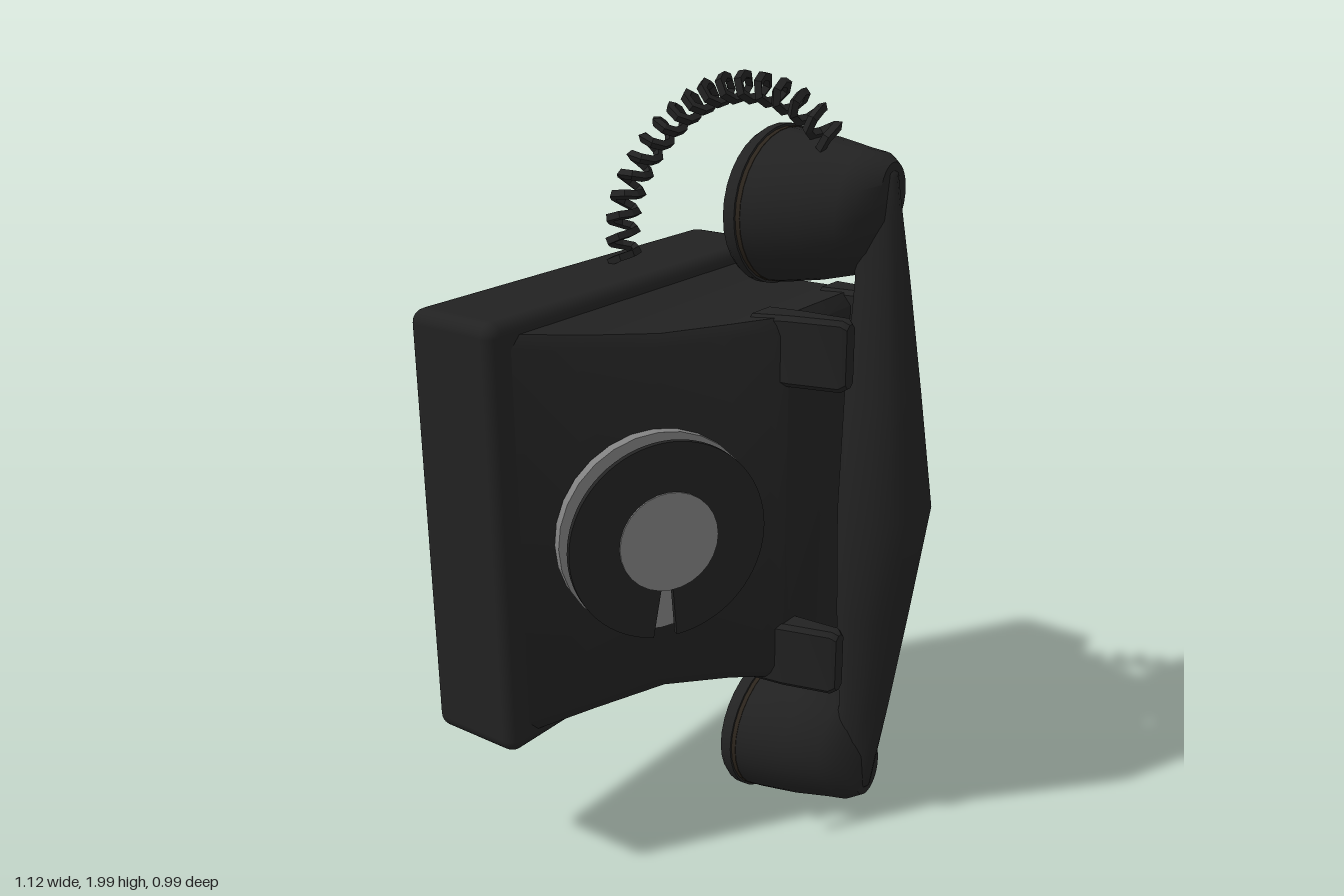
import * as THREE from 'three';
import { toCreasedNormals } from 'three/addons/utils/BufferGeometryUtils.js';
import { RoundedBoxGeometry } from 'three/addons/geometries/RoundedBoxGeometry.js';

const black = new THREE.MeshStandardMaterial({ color: 0x222222 });
black.name = 'black bakelite';
const grey = new THREE.MeshStandardMaterial({ color: 0x808080 });
grey.name = 'grey metal';
const brown = new THREE.MeshStandardMaterial({ color: 0x2b241c });
brown.name = 'dark brown seam';

const MID_Y = 0.94;   // the handset is symmetric about this height
const HAND_X = 0.245; // centre line of handset and cradle

function mesh(name, geometry, material = black) {
  const m = new THREE.Mesh(geometry, material);
  m.name = name;
  return m;
}

// Skin a list of equal-length point rings and close both ends
function loft(rings, crease = 0.6) {
  const n = rings[0].length, pos = [], idx = [];
  rings.forEach(r => r.forEach(p => pos.push(...p)));
  for (let k = 0; k < rings.length - 1; k++) {
    for (let i = 0; i < n; i++) {
      const j = (i + 1) % n, a = k * n, b = a + n;
      idx.push(a + i, a + j, b + j, a + i, b + j, b + i);
    }
  }
  const last = (rings.length - 1) * n;
  for (let i = 1; i < n - 1; i++) {
    idx.push(0, i + 1, i, last, last + i, last + i + 1);
  }
  const g = new THREE.BufferGeometry();
  g.setAttribute('position', new THREE.Float32BufferAttribute(pos, 3));
  g.setIndex(idx);
  return toCreasedNormals(g, crease);
}

// Rectangle in x/y with chamfered corners, counter-clockwise from +z
function chamfered(x0, x1, y0, y1, z, c) {
  return [
    [x0 + c, y0, z], [x1 - c, y0, z], [x1, y0 + c, z], [x1, y1 - c, z],
    [x1 - c, y1, z], [x0 + c, y1, z], [x0, y1 - c, z], [x0, y0 + c, z],
  ];
}

function ellipse(cx, cy, z, rx, ry, n = 32) {
  return Array.from({ length: n }, (_, i) => {
    const a = (i / n) * Math.PI * 2;
    return [cx + rx * Math.cos(a), cy + ry * Math.sin(a), z];
  });
}

function createBody() {
  const body = new THREE.Group();
  body.name = 'body';

  const base = mesh('basePlate', new RoundedBoxGeometry(1.125, 1.11, 0.27, 3, 0.035));
  base.position.set(-0.002, 0.945, -0.32);
  body.add(base);

  // Wedge rising from the base to the cradle: z, x0, x1, y0, y1, chamfer
  const sections = [
    [-0.2, -0.525, 0.512, 0.425, 1.465, 0.03],
    [-0.1, -0.375, 0.49, 0.46, 1.445, 0.03],
    [0, -0.22, 0.468, 0.49, 1.43, 0.03],
    [0.1, -0.07, 0.455, 0.475, 1.435, 0.03],
    [0.17, 0.035, 0.44, 0.455, 1.44, 0.03],
    [0.195, 0.07, 0.42, 0.48, 1.41, 0.03],
  ];
  body.add(mesh('wedgeHousing', loft(
    sections.map(([z, x0, x1, y0, y1, c]) => chamfered(x0, x1, y0, y1, z, c)))));

  // Four cradle prongs: z, sideways offset, half width, half height
  const prong = [
    [0.1, 0.16, 0.05, 0.085], [0.2, 0.15, 0.04, 0.09],
    [0.325, 0.13, 0.027, 0.09], [0.34, 0.13, 0.018, 0.08],
  ];
  for (const sx of [-1, 1]) for (const sy of [-1, 1]) {
    const y = MID_Y + 0.003 + sy * 0.415;
    body.add(mesh('cradleProng', loft(prong.map(([z, off, hw, hh]) => {
      const x = HAND_X + sx * off;
      return chamfered(x - hw, x + hw, y - hh, y + hh, z, 0.012);
    }))));
  }

  // Feet
  for (const x of [-0.327, 0.325]) for (const y of [0.588, 1.272]) {
    const foot = mesh('foot', toCreasedNormals(new THREE.CylinderGeometry(0.083, 0.083, 0.06, 24), 0.6));
    foot.rotation.x = Math.PI / 2;
    foot.position.set(x, y, -0.462);
    body.add(foot);
  }
  return body;
}

function createDial() {
  const dial = new THREE.Group();
  dial.name = 'dial';
  const disc = (name, r, depth, z, mat) => {
    const m = mesh(name, toCreasedNormals(new THREE.CylinderGeometry(r, r, depth, 28), 0.6), mat);
    m.rotation.x = Math.PI / 2;
    m.position.z = z;
    dial.add(m);
  };
  disc('dialBacking', 0.26, 0.03, 0, grey);
  disc('dialHub', 0.128, 0.085, 0.037, grey);

  // Finger wheel with a slot at its lower edge
  const gap = 0.12, down = -Math.PI / 2 - 0.05;
  const shape = new THREE.Shape();
  shape.absarc(0, 0, 0.255, down + gap, down - gap + Math.PI * 2, false);
  shape.absarc(0, 0, 0.124, down - gap + Math.PI * 2, down + gap, true);
  const wheel = mesh('fingerWheel', toCreasedNormals(new THREE.ExtrudeGeometry(shape,
    { depth: 0.015, bevelEnabled: false, curveSegments: 36 }), 0.6));
  wheel.position.z = 0.06;
  dial.add(wheel);

  dial.position.set(-0.225, MID_Y, 0.012);
  dial.rotation.y = -Math.PI / 6;
  return dial;
}

function createHandset() {
  const handset = new THREE.Group();
  handset.name = 'handset';

  // Grip sections: distance from the middle, half width, back z, front z
  const half = [
    [0, 0.13, 0.275, 0.493], [0.3, 0.1, 0.275, 0.452], [0.59, 0.068, 0.285, 0.41],
    [0.75, 0.045, 0.25, 0.387], [0.84, 0.036, 0.25, 0.373], [0.885, 0.028, 0.25, 0.33],
  ];
  const stations = [...half.slice(1).reverse().map(([d, ...r]) => [-d, ...r]), ...half];
  handset.add(mesh('grip', loft(stations.map(([d, w, zb, zf]) =>
    Array.from({ length: 16 }, (_, i) => {
      const a = (i / 16) * Math.PI * 2, s = -Math.sin(a), c = Math.cos(a);
      const zc = zb + (zf - zb) * 0.4;
      return [HAND_X + w * Math.sign(c) * Math.abs(c) ** 0.8, MID_Y + d,
        zc + s * (s > 0 ? zf - zc : zc - zb)];
    })), 0.7)));

  // Ear and mouth cups: z, shift away from the middle, x radius, y radius
  const cup = [
    [0.065, 0, 0.212, 0.19], [0.1, 0, 0.207, 0.187], [0.2, 0.004, 0.178, 0.172],
    [0.29, 0.008, 0.142, 0.152], [0.33, 0.03, 0.115, 0.125], [0.365, 0.06, 0.06, 0.075],
  ];
  const cap = [
    [0.014, 0, 0.185, 0.165], [0.02, 0, 0.21, 0.188],
    [0.035, 0, 0.219, 0.197], [0.058, 0, 0.219, 0.197],
  ];
  const seam = [[0.05, 0, 0.213, 0.191], [0.07, 0, 0.213, 0.191]];
  for (const side of [-1, 1]) {
    const y = MID_Y + side * 0.733;
    const build = rows => loft(rows.map(([z, dy, rx, ry]) =>
      ellipse(HAND_X, y + side * dy, z, rx, ry)), 0.7);
    const which = side > 0 ? 'ear' : 'mouth';
    handset.add(mesh(which + 'Cup', build(cup)));
    handset.add(mesh(which + 'Cap', build(cap)));
    handset.add(mesh(which + 'Seam', build(seam), brown));
  }
  return handset;
}

// Coiled cord arching from the ear cup to the base
function createCord() {
  const path = new THREE.CatmullRomCurve3([
    [0.21, 1.83, 0.23], [0.2, 1.91, 0.15], [0.2, 1.955, 0.03], [0.2, 1.945, -0.1],
    [0.19, 1.87, -0.23], [0.16, 1.76, -0.32], [0.12, 1.63, -0.355], [0.1, 1.48, -0.34],
  ].map(p => new THREE.Vector3(...p)));
  const turns = 18, perTurn = 7, count = turns * perTurn;
  const points = [];
  for (let i = 0; i <= count; i++) {
    const t = i / count, a = (i / perTurn) * Math.PI * 2;
    const tan = path.getTangentAt(t);
    const side = new THREE.Vector3(1, 0, 0).addScaledVector(tan, -tan.x).normalize();
    const up = new THREE.Vector3().crossVectors(tan, side);
    points.push(path.getPointAt(t)
      .addScaledVector(side, 0.042 * Math.cos(a))
      .addScaledVector(up, 0.03 * Math.sin(a)));
  }
  const curve = new THREE.CatmullRomCurve3(points);
  return mesh('coiledCord', toCreasedNormals(new THREE.TubeGeometry(curve, count, 0.013, 4), 0.3));
}

export function createModel() {
  const model = new THREE.Group();
  model.name = 'rotaryTelephone';
  model.add(createBody(), createDial(), createHandset(), createCord());
  return model;
}
